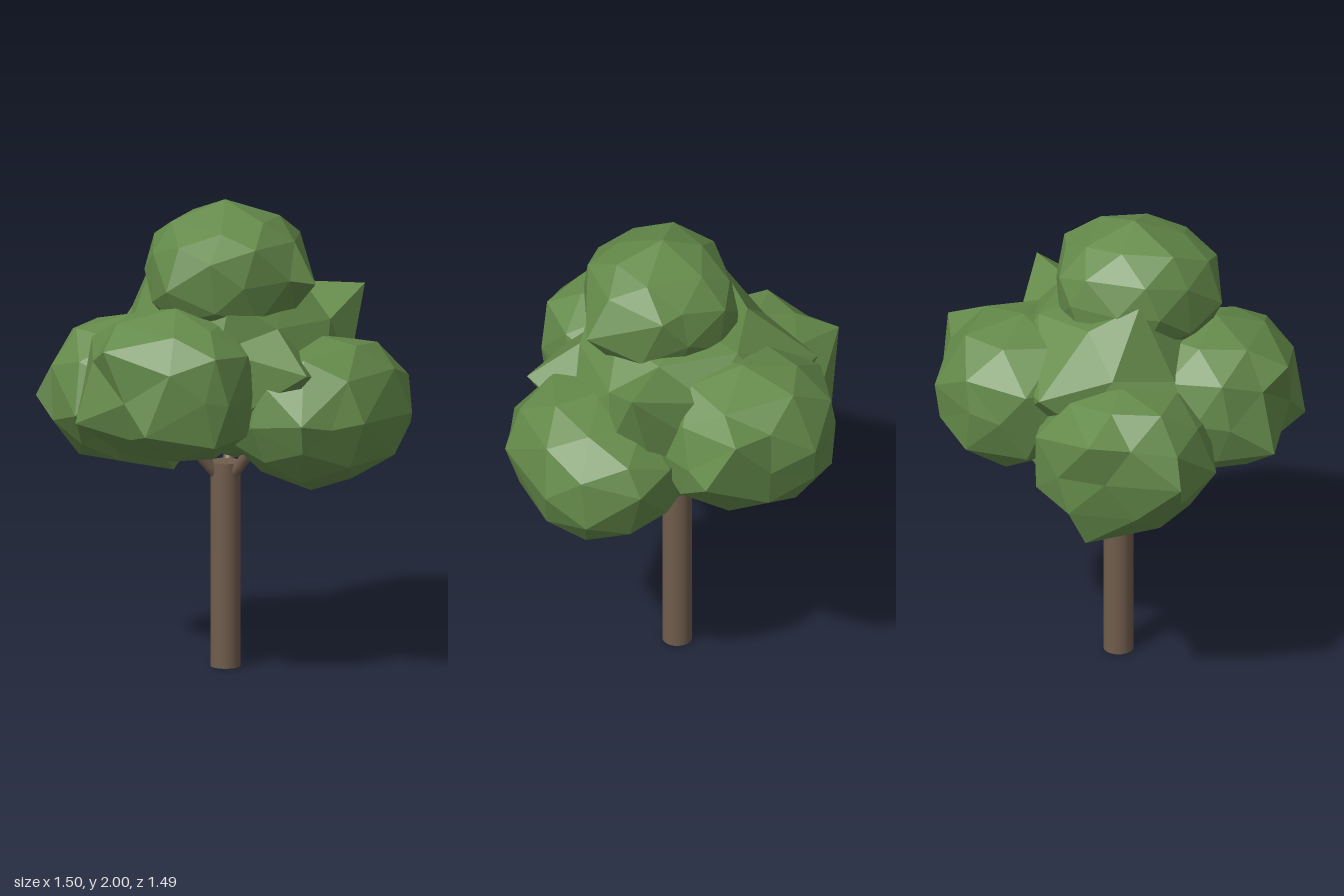
import * as THREE from 'three';
import { mergeVertices } from 'three/addons/utils/BufferGeometryUtils.js';

// Small seeded generator for the irregular foliage
function seeded(seed) {
  let s = seed;
  return () => {
    s = (s * 16807) % 2147483647;
    return s / 2147483647 - 0.5;
  };
}

// Faceted clump: a jittered, slightly squared icosphere fitted to a box, with vertices pulled out to a few corners
function clumpGeometry(min, max, corners, seed) {
  const ico = new THREE.IcosahedronGeometry(1, 1);
  ico.deleteAttribute('normal');
  ico.deleteAttribute('uv');
  const geo = mergeVertices(ico, 1e-4);
  const pos = geo.attributes.position;
  const rand = seeded(seed);
  const square = (v) => Math.sign(v) * Math.abs(v) ** 0.87;
  const pts = [];
  for (let i = 0; i < pos.count; i++) {
    const jitter = new THREE.Vector3(rand(), rand(), rand()).multiplyScalar(0.1);
    pts.push(new THREE.Vector3(square(pos.getX(i)), square(pos.getY(i)), square(pos.getZ(i))).add(jitter));
  }
  const from = new THREE.Box3().setFromPoints(pts);
  const size = from.getSize(new THREE.Vector3());
  const lo = new THREE.Vector3(...min);
  const span = new THREE.Vector3(...max).sub(lo);
  pts.forEach((p) => p.sub(from.min).divide(size).multiply(span).add(lo));

  const free = new Set(pts);
  for (const c of corners) {
    const target = new THREE.Vector3(...c);
    const nearest = [...free].reduce((a, b) => (b.distanceTo(target) < a.distanceTo(target) ? b : a));
    nearest.copy(target);
    free.delete(nearest);
  }
  pts.forEach((p, i) => pos.setXYZ(i, p.x, p.y, p.z));
  const flat = geo.toNonIndexed();
  flat.computeVertexNormals();
  return flat;
}

// Each clump: its box and the corners that stick out of the rounded form
const clumps = [
  { name: 'crownTop', min: [-0.27, 1.42, -0.29], max: [0.38, 1.95, 0.4],
    corners: [[0.42, 1.67, -0.08], [0.04, 1.67, 0.43], [0.04, 2, 0.05], [0.16, 1.82, -0.29]] },
  { name: 'crownCore', min: [-0.5, 0.88, -0.48], max: [0.48, 1.68, 0.38],
    corners: [[0.59, 1.35, 0.18], [0.36, 1.6, -0.47], [-0.24, 1.76, 0.16],
      [0.25, 1.64, 0.27], [-0.56, 1.42, -0.18], [-0.4, 1.25, 0.42]] },
  { name: 'frontClump', min: [-0.32, 0.95, 0.1], max: [0.43, 1.6, 0.72],
    corners: [[-0.2, 1.13, 0.73], [0.19, 1.13, 0.745], [-0.04, 1.46, 0.74], [0.42, 1.25, 0.48]] },
  { name: 'leftClump', min: [0.04, 0.8, -0.54], max: [0.73, 1.44, 0.29],
    corners: [[0.36, 1.18, -0.58], [0.62, 1.15, 0.25], [0.75, 1.14, 0], [0.36, 0.78, -0.12]] },
  { name: 'rightClump', min: [-0.7, 0.83, -0.24], max: [-0.08, 1.46, 0.48],
    corners: [[-0.75, 1.34, 0.09], [-0.64, 1.14, 0.46], [-0.37, 1.1, 0.53],
      [-0.62, 0.82, 0.04], [-0.18, 0.83, 0.12]] },
  { name: 'backClump', min: [-0.55, 0.97, -0.72], max: [0.23, 1.6, 0],
    corners: [[0, 1.46, -0.745], [-0.37, 1.32, -0.69], [0.12, 1.25, -0.71],
      [-0.53, 1.3, -0.49], [-0.55, 1.42, -0.24]] },
];

export function createModel() {
  const tree = new THREE.Group();
  tree.name = 'tree';
  const leaves = new THREE.MeshStandardMaterial({ color: 0x648a4a });
  leaves.name = 'leaf green';
  const bark = new THREE.MeshStandardMaterial({ color: 0x705d4c });
  bark.name = 'bark brown';

  // Trunk
  const trunk = new THREE.Mesh(new THREE.CylinderGeometry(0.062, 0.062, 0.87, 24), bark);
  trunk.name = 'trunk';
  trunk.position.set(-0.005, 0.435, -0.005);
  tree.add(trunk);

  // Three short boughs forking from the trunk into the crown
  for (let i = 0; i < 3; i++) {
    const a = (i * Math.PI * 2) / 3;
    const at = (r, y) => new THREE.Vector3(-0.005 + r * Math.cos(a), y, -0.005 + r * Math.sin(a));
    const path = new THREE.CatmullRomCurve3([at(0.04, 0.82), at(0.075, 0.86), at(0.14, 0.94)]);
    const bough = new THREE.Mesh(new THREE.TubeGeometry(path, 8, 0.024, 10), bark);
    bough.name = 'bough';
    tree.add(bough);
  }

  // Foliage
  clumps.forEach(({ name, min, max, corners }, i) => {
    const clump = new THREE.Mesh(clumpGeometry(min, max, corners, 7919 * (i + 1)), leaves);
    clump.name = name;
    tree.add(clump);
  });
  return tree;
}
